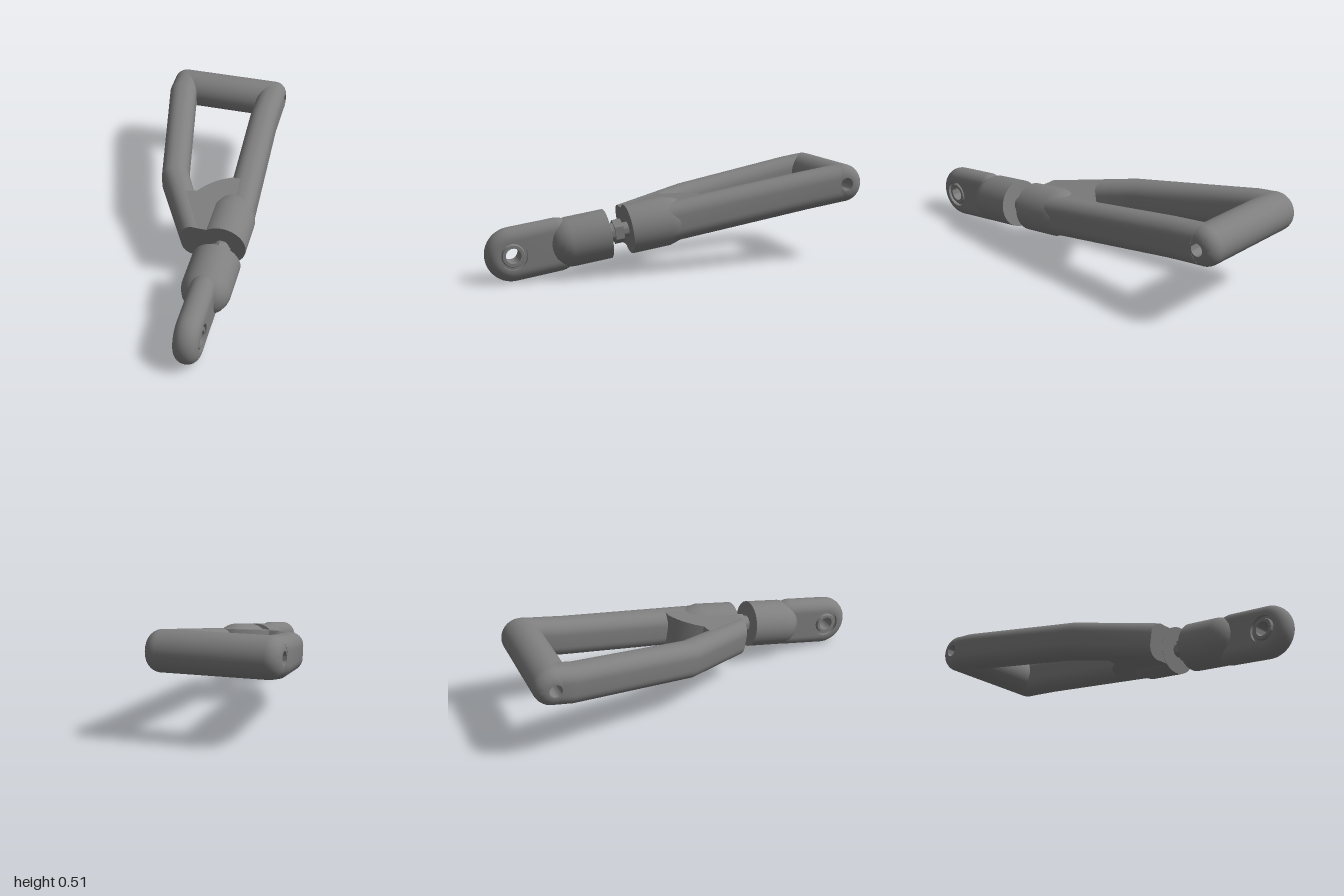
import * as THREE from 'three';
import { toCreasedNormals } from 'three/addons/utils/BufferGeometryUtils.js';

const metal = new THREE.MeshStandardMaterial({ color: 0x7f7f7f });
metal.name = 'grey metal';

function part(name, geometry, crease = 0.6) {
  const mesh = new THREE.Mesh(toCreasedNormals(geometry, crease), metal);
  mesh.name = name;
  return mesh;
}

const lathe = (points, segments = 48) =>
  new THREE.LatheGeometry(points.map(([r, y]) => new THREE.Vector2(r, y)), segments);

// Quarter round about (cx, cy) from angle a to angle b
function arc(cx, cy, r, a, b, n = 8) {
  return Array.from({ length: n + 1 }, (_, i) => {
    const t = a + ((b - a) * i) / n;
    return [cx + r * Math.cos(t), cy + r * Math.sin(t)];
  });
}

// Rounded bar lofted through stations [x0, z0, x1, z1], from the -x edge to the +x edge.
// notch cuts a V into the first end, to keep the pivot bore clear.
function bar(stations, halfHeight, radius, notch = 0) {
  const pos = [], index = [];
  let n = 0;
  stations.forEach(([x0, z0, x1, z1], i) => {
    const w = Math.hypot(x1 - x0, z1 - z0) / 2;
    const r = Math.min(radius, w * 0.98);
    const ring = [];
    [[1, 1], [-1, 1], [-1, -1], [1, -1]].forEach(([su, sh], q) => {
      ring.push(...arc(su * (w - r), sh * (halfHeight - r), r, (q * Math.PI) / 2, ((q + 1) * Math.PI) / 2));
    });
    n = ring.length;
    for (const [u, h] of ring) {
      const t = (u / w + 1) / 2;
      const cut = i === 0 ? notch * Math.abs(h) : 0;
      pos.push(x0 + (x1 - x0) * t, h, z0 + (z1 - z0) * t - cut);
    }
  });
  const last = stations.length - 1;
  for (let i = 0; i < last; i++) {
    for (let j = 0; j < n; j++) {
      const k = (j + 1) % n;
      const a = i * n + j, b = i * n + k, c = b + n, d = a + n;
      index.push(a, b, c, a, c, d);
    }
  }
  // End caps
  const centre = pos.length / 3;
  for (const s of [stations[0], stations[last]]) pos.push((s[0] + s[2]) / 2, 0, (s[1] + s[3]) / 2);
  for (let j = 0; j < n; j++) {
    const k = (j + 1) % n;
    index.push(centre, k, j, centre + 1, last * n + j, last * n + k);
  }
  const g = new THREE.BufferGeometry();
  g.setAttribute('position', new THREE.Float32BufferAttribute(pos, 3));
  g.setIndex(index);
  return g;
}

export function createModel() {
  const model = new THREE.Group();
  model.name = 'controlArm';
  const arm = new THREE.Group();
  arm.name = 'tiltedAssembly';
  arm.position.y = 0.276;
  arm.rotation.x = 0.156;
  model.add(arm);

  const H = Math.PI / 2;
  const axisX = 0.23;

  // Rear pivot tube with rounded ends and a through bore
  const pivot = lathe([
    [0.033, -0.36],
    ...arc(0.034, -0.294, 0.066, -H, 0),
    ...arc(0.034, 0.229, 0.066, 0, H),
    [0.033, 0.295],
    [0.033, -0.36],
  ]).rotateZ(-H).translate(0, 0, -0.91);
  // Swell the rounded ends out to the full tube radius
  arm.add(part('rearPivotTube', pivot));

  // Side bars of the open frame
  arm.add(part('rightBar', bar([
    [-0.36, -0.86, -0.205, -0.86],
    [-0.36, -0.81, -0.205, -0.8],
    [-0.2, -0.1, -0.07, -0.17],
    [0.016, 0.28, 0.155, 0.28],
  ], 0.1, 0.068, 0.5)));
  arm.add(part('leftBar', bar([
    [0.145, -0.86, 0.295, -0.86],
    [0.145, -0.69, 0.295, -0.69],
    [0.192, 0.1, 0.345, 0.1],
  ], 0.1, 0.068, 0.5)));

  // Gusset joining both bars, with a curved rear edge
  const web = new THREE.Shape();
  web.moveTo(0.09, 0.28);
  web.lineTo(0.27, 0.28);
  web.lineTo(0.27, -0.12);
  web.lineTo(0.19, -0.12);
  web.quadraticCurveTo(0.09, -0.08, 0.03, 0.02);
  web.lineTo(-0.03, 0.03);
  web.closePath();
  const webGeo = new THREE.ExtrudeGeometry(web, { depth: 0.196, bevelEnabled: false, curveSegments: 12 });
  arm.add(part('gusset', webGeo.rotateX(H).translate(0, 0.098, 0)));

  // Threaded hub at the front of the frame
  const hub = lathe([[0, -0.02], [0.085, -0.02], [0.108, 0.02], [0.125, 0.08], [0.125, 0.281], [0, 0.281]]);
  arm.add(part('hub', hub.rotateX(H).translate(axisX, 0, 0)));

  // Adjusting rod, lock nut and collar
  const addRound = (name, r, from, to, sides) => {
    const g = new THREE.CylinderGeometry(r, r, to - from, sides);
    arm.add(part(name, g.rotateX(H).translate(axisX, 0, (from + to) / 2)));
  };
  addRound('adjustingRod', 0.038, 0.27, 0.4, 32);
  addRound('lockNut', 0.062, 0.312, 0.356, 6);
  addRound('collar', 0.046, 0.356, 0.385, 32);

  // Rod end socket with a domed front
  const socket = lathe([
    [0, 0.39], [0.125, 0.39], [0.125, 0.585], [0.12, 0.612], [0.108, 0.64],
    [0.088, 0.664], [0.06, 0.682], [0, 0.7],
  ]);
  arm.add(part('rodEndSocket', socket.rotateX(H).translate(axisX, 0, 0)));

  // Eye: a rounded ring whose rear half is drawn back into the socket
  const R = 0.135, W = 0.0625, f = 0.06, bore = 0.07;
  const eye = lathe([
    [bore, -W],
    ...arc(R - f, -W + f, f, -H, 0),
    ...arc(R - f, W - f, f, 0, H),
    [bore, W],
    [bore, -W],
  ]).rotateZ(H);
  const p = eye.attributes.position;
  for (let i = 0; i < p.count; i++) {
    const r = Math.hypot(p.getY(i), p.getZ(i));
    if (p.getZ(i) < -1e-5 && r > bore + 0.002) p.setZ(i, p.getZ(i) - 0.22);
  }
  arm.add(part('rodEndEye', eye.translate(axisX, 0, 0.875)));

  // Bearing sleeve seated in the eye
  const sleeve = lathe([
    [0.038, -0.06], [0.053, -0.06], [0.058, -0.045], [0.0705, -0.045],
    [0.0705, 0.045], [0.058, 0.045], [0.053, 0.06], [0.038, 0.06], [0.038, -0.06],
  ]);
  arm.add(part('bearingSleeve', sleeve.rotateZ(H).translate(axisX, 0, 0.875)));

  return model;
}
